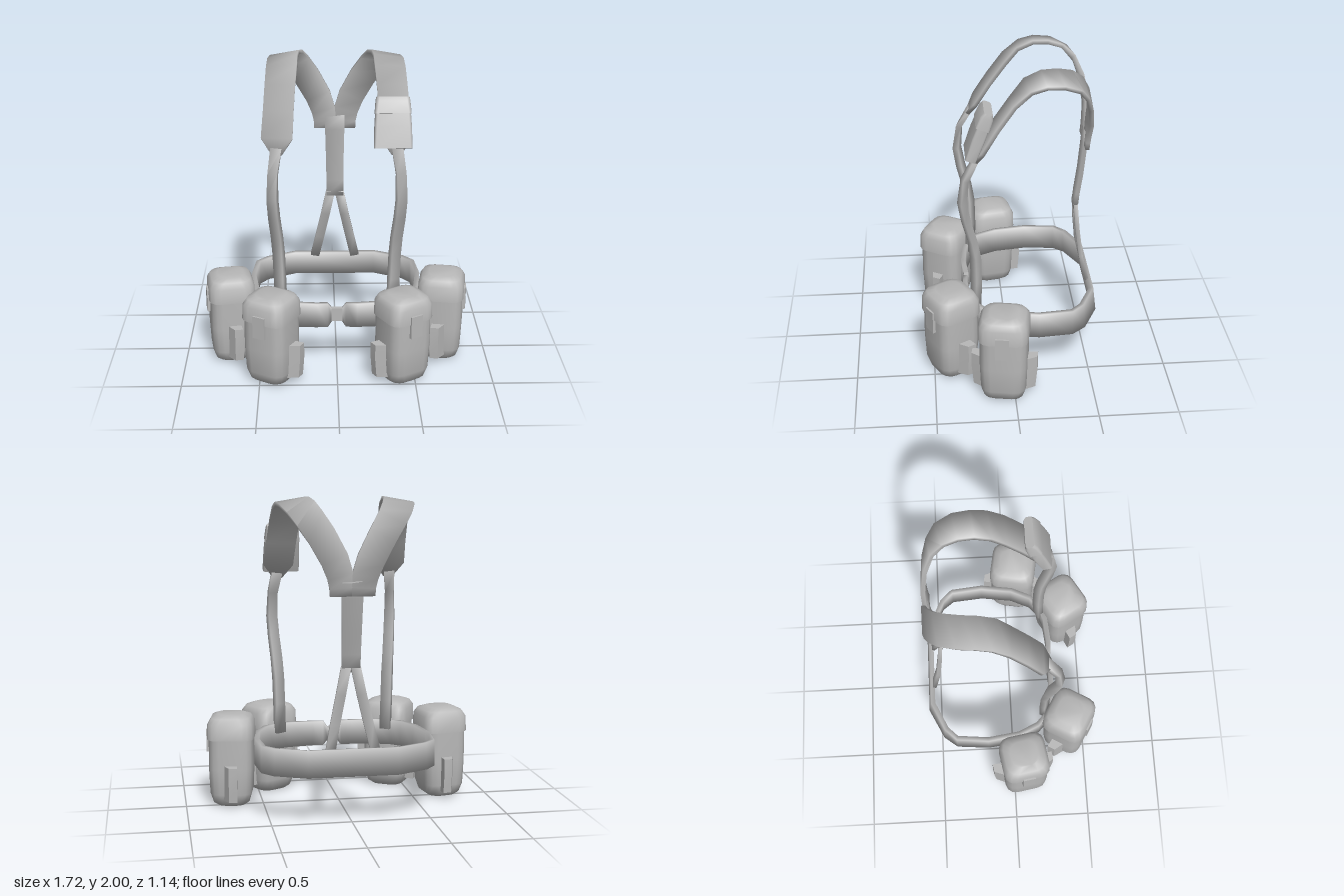
import * as THREE from 'three';
import { toCreasedNormals } from 'three/addons/utils/BufferGeometryUtils.js';

const V = (x, y, z) => new THREE.Vector3(x, y, z);

// Skin a list of equal-sized rings; rings run counter-clockwise seen from the end.
function loft(rings, closed, crease) {
  const n = rings[0].length, idx = [];
  const count = closed ? rings.length : rings.length - 1;
  for (let i = 0; i < count; i++) {
    const p = i * n, q = ((i + 1) % rings.length) * n;
    for (let j = 0; j < n; j++) {
      const k = (j + 1) % n;
      idx.push(p + j, p + k, q + k, p + j, q + k, q + j);
    }
  }
  if (!closed) {
    const e = (rings.length - 1) * n;
    for (let j = 1; j < n - 1; j++) idx.push(0, j + 1, j, e, e + j, e + j + 1);
  }
  const g = new THREE.BufferGeometry().setFromPoints(rings.flat());
  g.setIndex(idx);
  return toCreasedNormals(g, crease);
}

// Soft band along a path. Each point: [x, y, z, width, thickness, width direction x, y, z]
function strap(pts, side = 1, closed = false) {
  const c = pts.map(p => V(p[0] * side, p[1], p[2])), m = c.length;
  const rings = pts.map((p, i) => {
    const a = closed ? (i + m - 1) % m : Math.max(i - 1, 0);
    const b = closed ? (i + 1) % m : Math.min(i + 1, m - 1);
    const t = c[b].clone().sub(c[a]).normalize();
    const w = V((p[5] ?? 1) * side, p[6] ?? 0, p[7] ?? 0);
    w.addScaledVector(t, -w.dot(t)).normalize();
    const nrm = t.clone().cross(w);
    return [[1, 1], [-1, 1], [-1, -1], [1, -1]].map(([u, v]) => c[i].clone()
      .addScaledVector(w, u * p[3] / 2).addScaledVector(nrm, v * p[4] / 2));
  });
  return loft(rings, closed, 1.8);
}

// Upright rounded box from levels [y, width, depth, corner radius]
function roundedStack(levels) {
  return loft(levels.map(([y, w, d, r]) => {
    const ring = [];
    for (let q = 0; q < 4; q++) for (let s = 0; s <= 3; s++) {
      const a = (q + s / 3) * Math.PI / 2;
      const sx = q < 2 ? 1 : -1, sz = q === 0 || q === 3 ? 1 : -1;
      ring.push(V(sx * (w / 2 - r) + Math.sin(a) * r, y, sz * (d / 2 - r) + Math.cos(a) * r));
    }
    return ring;
  }), false, 0.95);
}

export function createModel() {
  const model = new THREE.Group();
  const grey = new THREE.MeshStandardMaterial({ color: 0xb8b8b8 });
  grey.name = 'grey webbing';
  const add = (parent, name, geo, x = 0, y = 0, z = 0) => {
    const m = new THREE.Mesh(geo, grey);
    m.name = name;
    m.position.set(x, y, z);
    parent.add(m);
  };

  // Waist belt, pinched at the front buckle: [x, z, height, lean]
  const half = [[0.03, 0.265, 0.08, 0], [0.06, 0.275, 0.165, 0], [0.13, 0.28, 0.165, 0],
    [0.3, 0.265, 0.17, 0], [0.4, 0.23, 0.17, 0], [0.465, 0.17, 0.17, 0],
    [0.525, 0.04, 0.17, 0], [0.555, -0.17, 0.17, 0], [0.535, -0.38, 0.17, 0.05],
    [0.47, -0.455, 0.17, 0.1], [0.28, -0.546, 0.17, 0.12]];
  const loop = [...half, ...half.map(([x, ...r]) => [-x, ...r]).reverse()];
  add(model, 'belt', strap(loop.map(([x, z, h, l]) => [x, 0.393, z, h, 0.03, 0, 1, l]), 1, true));
  add(model, 'beltBuckle', new THREE.BoxGeometry(0.075, 0.09, 0.03), 0, 0.393, 0.267);

  // Shoulder harness
  for (const [s, label] of [[1, 'left'], [-1, 'right']]) {
    add(model, label + 'FrontStrap', strap([
      [0.36, 0.42, 0.222, 0.07, 0.04, 0.85, 0, -0.5],
      [0.365, 0.62, 0.217, 0.07, 0.04, 0.85, 0, -0.5],
      [0.37, 0.8, 0.22, 0.07, 0.04, 0.85, 0, -0.5],
      [0.378, 0.92, 0.236, 0.068, 0.04, 0.9, 0, -0.4],
      [0.392, 1.07, 0.275, 0.066, 0.04, 0.9, 0, -0.4],
      [0.4, 1.2, 0.298, 0.064, 0.04, 0.9, 0, -0.35],
      [0.395, 1.36, 0.28, 0.06, 0.035, 0.95, 0, -0.2],
      [0.375, 1.5, 0.205, 0.07, 0.03]], s));
    add(model, label + 'ShoulderPad', strap([
      [0.37, 1.465, 0.225, 0.06, 0.025, 1, -0.1, 0],
      [0.37, 1.555, 0.175, 0.195, 0.025, 1, 0, 0],
      [0.36, 1.7, 0.085, 0.19, 0.025],
      [0.35, 1.84, -0.015, 0.19, 0.025],
      [0.34, 1.935, -0.105, 0.195, 0.025, 1, -0.15, 0],
      [0.335, 1.97, -0.2, 0.195, 0.025, 1, -0.18, 0],
      [0.325, 1.968, -0.3, 0.195, 0.025, 1, -0.18, 0],
      [0.295, 1.935, -0.395, 0.19, 0.025, 1, -0.2, 0],
      [0.25, 1.87, -0.455, 0.18, 0.025, 1, -0.25, 0],
      [0.185, 1.77, -0.495, 0.175, 0.025, 1, -0.3, 0],
      [0.11, 1.63, -0.515, 0.17, 0.025, 1, -0.25, 0],
      [0.075, 1.53, -0.51, 0.16, 0.025, 1, -0.05, 0],
      [0.067, 1.46, -0.505, 0.147, 0.025],
      [0.067, 1.41, -0.5, 0.143, 0.025]], s));
    add(model, label + 'BackFork', strap([
      [0.03, 0.97, -0.452, 0.06, 0.025], [0.065, 0.8, -0.465, 0.06, 0.025],
      [0.105, 0.62, -0.487, 0.06, 0.025], [0.14, 0.46, -0.525, 0.06, 0.025]], s));
  }
  add(model, 'backStrap', strap([
    [0, 1.5, -0.508, 0.13, 0.025], [0, 1.4, -0.498, 0.13, 0.025], [0, 1.2, -0.48, 0.12, 0.025],
    [0, 1.05, -0.46, 0.115, 0.025], [0, 0.94, -0.45, 0.115, 0.025]]));

  // Belt pouches with lid, latch and two side tabs
  const bodyGeo = roundedStack([[0.003, 0.2, 0.18, 0.06], [0.025, 0.255, 0.235, 0.07],
    [0.085, 0.285, 0.27, 0.07], [0.25, 0.296, 0.283, 0.07], [0.46, 0.294, 0.281, 0.07]]);
  const lidGeo = roundedStack([[0.445, 0.312, 0.3, 0.07], [0.545, 0.306, 0.294, 0.07],
    [0.582, 0.265, 0.253, 0.07], [0.6, 0.18, 0.17, 0.06]]);
  const tab = s => {
    const ring = (y, o) => {
      const r = [[0.12, 0.05], [0.208 - o, 0.002], [0.208 - o, -0.052], [0.12, -0.045]]
        .map(([x, z]) => V(x * s, y, z));
      return s > 0 ? r : r.reverse();
    };
    return loft([ring(0.05, 0.012), ring(0.18, 0), ring(0.28, 0)], false, 0.5);
  };
  for (const s of [1, -1]) for (const [x, z, deg, label] of
    [[0.418, 0.385, 30, 'Front'], [0.697, 0.063, 80, 'Side']]) {
    const pouch = new THREE.Group();
    pouch.name = (s > 0 ? 'left' : 'right') + label + 'Pouch';
    pouch.position.set(x * s, 0, z);
    pouch.rotation.y = s * deg * Math.PI / 180;
    add(pouch, 'pouchBody', bodyGeo);
    add(pouch, 'pouchLid', lidGeo);
    add(pouch, 'pouchLatch', new THREE.BoxGeometry(0.085, 0.15, 0.02), 0, 0.425, 0.15);
    for (const t of [1, -1]) add(pouch, 'pouchTab', tab(t));
    model.add(pouch);
  }

  // Small pouch on the left shoulder strap
  const kit = new THREE.Group();
  kit.name = 'shoulderPouch';
  kit.position.set(0.345, 1.66, 0.19);
  kit.rotation.x = -0.36;
  add(kit, 'shoulderPouchBody', roundedStack([[-0.158, 0.235, 0.065, 0.012],
    [-0.02, 0.228, 0.078, 0.015], [0.08, 0.215, 0.072, 0.015]]));
  add(kit, 'shoulderPouchFlap', roundedStack([[0.055, 0.225, 0.088, 0.015],
    [0.13, 0.213, 0.08, 0.02], [0.158, 0.205, 0.055, 0.02]]));
  model.add(kit);

  return model;
}
